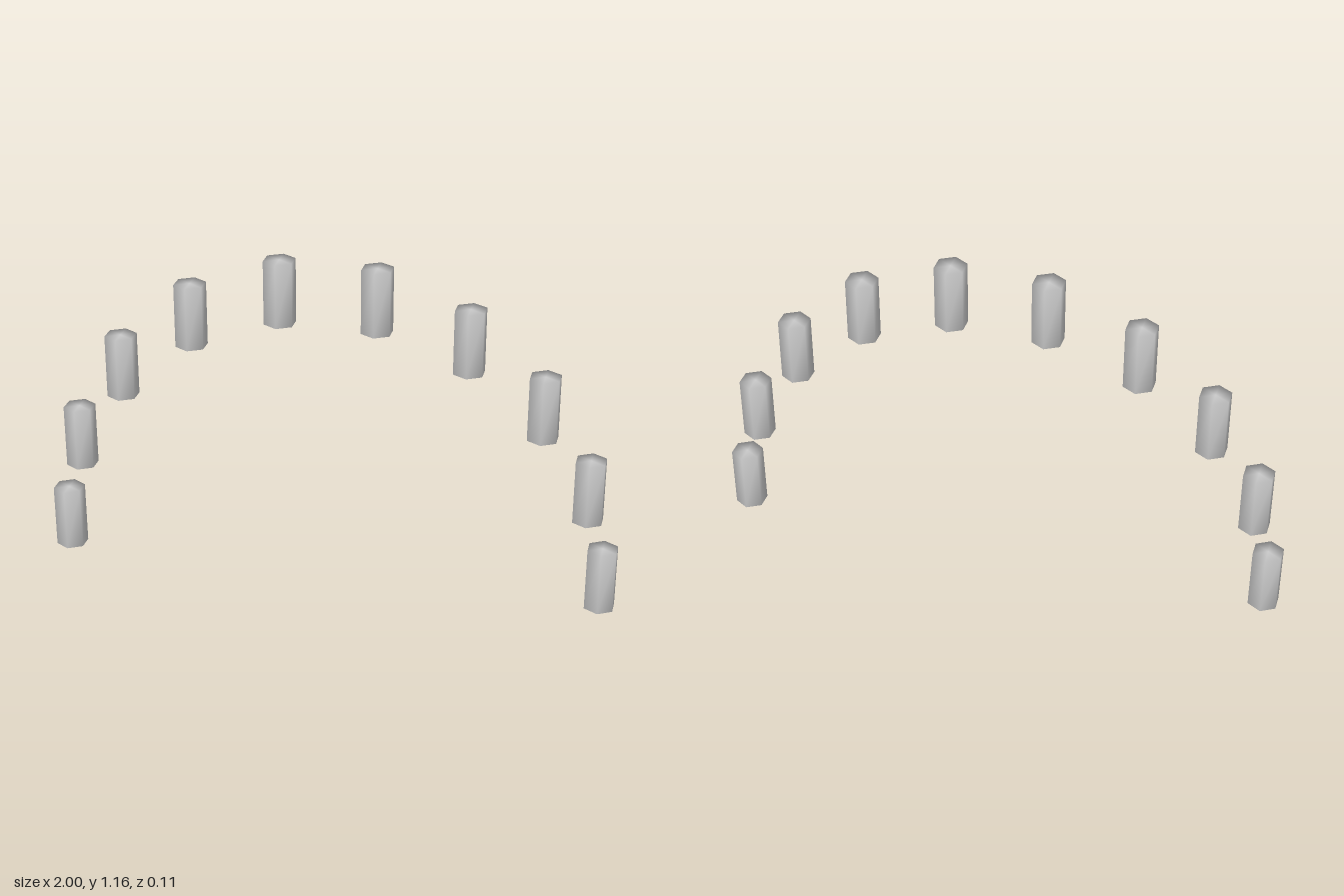
import * as THREE from 'three';
import { mergeVertices } from 'three/addons/utils/BufferGeometryUtils.js';

const POST_RADIUS = 0.056;
const POST_HEIGHT = 0.224;
const ARC_RADIUS = 0.9515;
const POST_COUNT = 10;

// Six-sided post, corners pointing along z, with normals shared across all edges
function postGeometry() {
  const g = new THREE.CylinderGeometry(POST_RADIUS, POST_RADIUS, POST_HEIGHT, 6);
  g.deleteAttribute('uv');
  g.deleteAttribute('normal');
  const merged = mergeVertices(g, 1e-4);
  merged.computeVertexNormals();
  return merged;
}

export function createModel() {
  const group = new THREE.Group();
  group.name = 'postArch';
  const geometry = postGeometry();
  const material = new THREE.MeshStandardMaterial({ color: 0xcccccc });

  // Upright posts spaced evenly along a half circle
  for (let i = 0; i < POST_COUNT; i++) {
    const angle = (Math.PI * i) / (POST_COUNT - 1);
    const post = new THREE.Mesh(geometry, material);
    post.name = `post${i + 1}`;
    post.position.set(
      Math.cos(angle) * ARC_RADIUS,
      Math.sin(angle) * ARC_RADIUS + POST_HEIGHT / 2,
      0
    );
    group.add(post);
  }
  return group;
}
